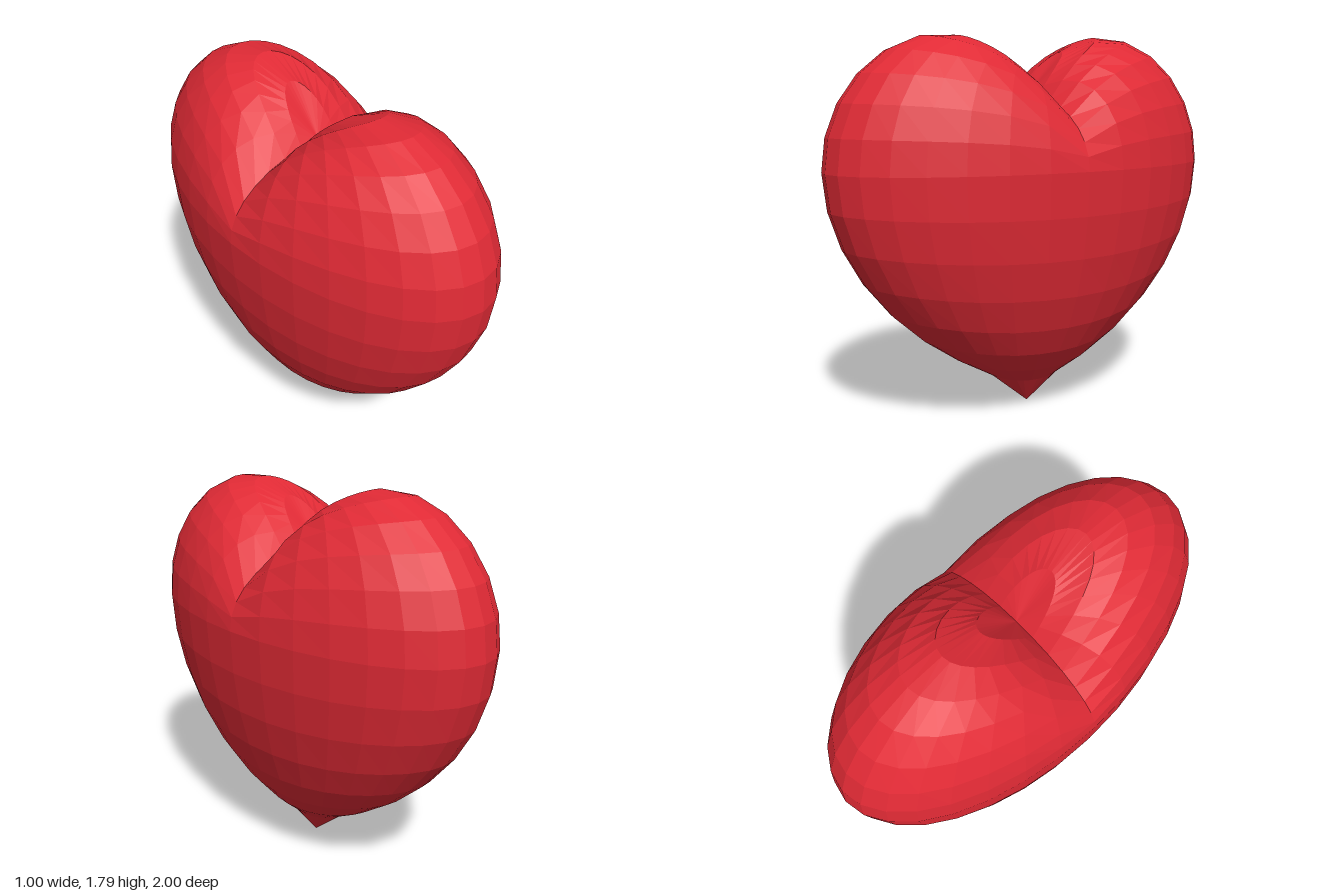
import * as THREE from 'three';

const MID = 1.18; // height of the widest ring

// Height of a point of the unit sphere once shaped into a heart
function heartHeight(x, y, z) {
  const r = Math.min(1, Math.hypot(x, z));
  if (y >= 0) {
    // Two lobes along z, pressed into a cleft across x at z = 0
    const cleft = 0.12 + 0.88 * Math.exp(-(z > 0 ? 2.9 : 3.2) * Math.abs(z));
    return MID + y * (0.86 - 0.53 * cleft);
  }
  // Underside drawn down to a point, pinched more on the thin sides
  const side = r > 1e-6 ? (x / r) ** 2 : 0;
  const pinch = 1 - Math.sqrt(r) + 0.44 * side * r * -y;
  return MID + 0.85 * y - 0.33 * pinch;
}

export function createModel() {
  const group = new THREE.Group();
  group.name = 'heart';

  // Faceted body: a sphere flattened in x, with reshaped heights
  const geometry = new THREE.SphereGeometry(1, 32, 16);
  const p = geometry.attributes.position;
  for (let i = 0; i < p.count; i++) {
    const x = p.getX(i), y = p.getY(i), z = p.getZ(i);
    p.setXYZ(i, x * 0.5, Math.max(0, heartHeight(x, y, z)), z);
  }
  geometry.computeVertexNormals();

  const body = new THREE.Mesh(
    geometry,
    new THREE.MeshStandardMaterial({ color: 0xe02a35, flatShading: true })
  );
  body.name = 'heartBody';
  group.add(body);
  return group;
}
